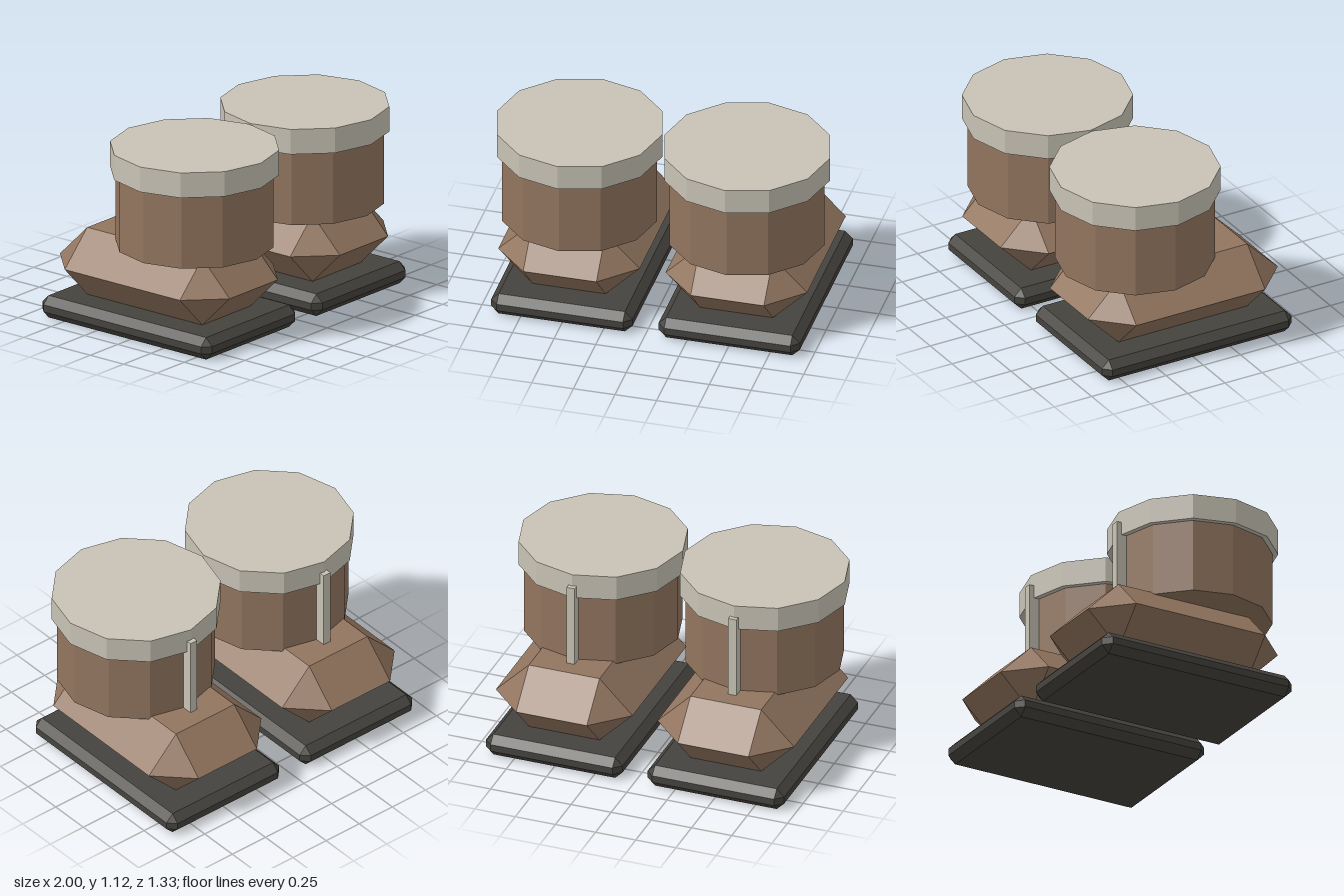
import * as THREE from 'three';
import { ConvexGeometry } from 'three/addons/geometries/ConvexGeometry.js';

const flat = (name, color) => {
  const m = new THREE.MeshStandardMaterial({ color });
  m.name = name;
  m.flatShading = true;
  return m;
};

// Box with every edge and corner cut by one bevel
function bevelBox(w, h, d, b) {
  const half = [w / 2, h / 2, d / 2];
  const seen = new Map();
  for (let axis = 0; axis < 3; axis++) {
    for (let i = 0; i < 8; i++) {
      const p = half.map((s, k) => (i >> k & 1 ? 1 : -1) * (k === axis ? s : s - b));
      const key = p.map((v) => Math.round(v * 1e4) + 0).join();
      if (!seen.has(key)) seen.set(key, new THREE.Vector3(...p));
    }
  }
  return new ConvexGeometry([...seen.values()]);
}

export function createModel() {
  const leather = flat('brown leather', 0x92755f);
  const fleece = flat('pale trim', 0xc8c3b5);
  const rubber = flat('dark rubber', 0x45433e);

  const model = new THREE.Group();
  model.name = 'boots';

  for (const [side, x] of [['left', 0.503], ['right', -0.503]]) {
    const boot = new THREE.Group();
    boot.name = side + 'Boot';
    boot.position.x = x;
    const add = (name, geometry, material, y, z) => {
      const mesh = new THREE.Mesh(geometry, material);
      mesh.name = name;
      mesh.position.set(0, y, z);
      boot.add(mesh);
    };

    // Sole and heavily bevelled foot
    add('sole', bevelBox(0.85, 0.135, 1.275, 0.046), rubber, 0.0675, -0.025);
    add('foot', bevelBox(0.85, 0.41, 1.275, 0.205), leather, 0.34, -0.025);

    // Twelve-sided shaft with a wider cuff
    add('shaft', new THREE.CylinderGeometry(0.465, 0.465, 0.5, 12), leather, 0.777, 0.168);
    add('cuff', new THREE.CylinderGeometry(0.497, 0.497, 0.153, 12), fleece, 1.0485, 0.168);

    // Strip up the back of the shaft
    add('backStrip', new THREE.BoxGeometry(0.05, 0.51, 0.065), fleece, 0.795, -0.3225);

    model.add(boot);
  }
  return model;
}
